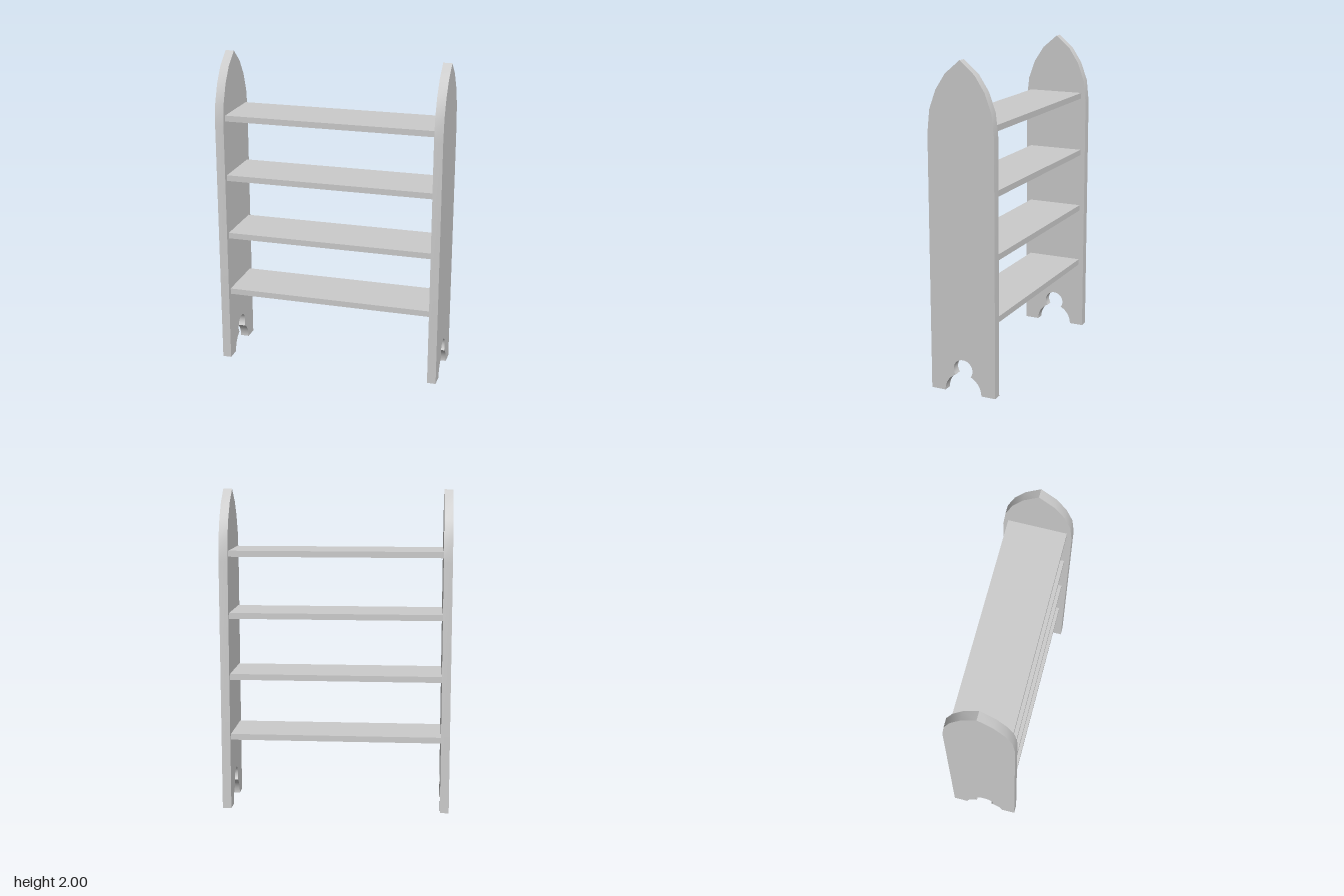
import * as THREE from 'three';
import { toCreasedNormals } from 'three/addons/utils/BufferGeometryUtils.js';

const HALF_DEPTH = 0.213;
const OUTER = 0.713, INNER = 0.658;

// Pointed-arch outline with a keyhole cut-out between the feet
function sideGeometry() {
  const arch = [[HALF_DEPTH, 1.57], [0.198, 1.71], [0.156, 1.825], [0.094, 1.92]];
  const footR = 0.121, holeR = 0.063, holeY = 0.147;
  const cusp = Math.atan2(0.11, 0.05);
  const neck = Math.atan2(holeY - 0.11, 0.05);

  const s = new THREE.Shape();
  s.moveTo(-HALF_DEPTH, 0);
  s.lineTo(-footR, 0);
  s.absarc(0, 0, footR, Math.PI, Math.PI - cusp, true);
  s.absarc(0, holeY, holeR, Math.PI + neck, -neck, true);
  s.absarc(0, 0, footR, cusp, 0, true);
  s.lineTo(HALF_DEPTH, 0);
  arch.forEach(([z, y]) => s.lineTo(z, y));
  s.lineTo(0, 2);
  [...arch].reverse().forEach(([z, y]) => s.lineTo(-z, y));
  s.closePath();

  const thickness = OUTER - INNER;
  const geo = new THREE.ExtrudeGeometry(s, { depth: thickness, bevelEnabled: false, curveSegments: 14 });
  geo.translate(0, 0, -thickness / 2);
  geo.rotateY(Math.PI / 2);
  return toCreasedNormals(geo, 0.5);
}

export function createModel() {
  const group = new THREE.Group();
  group.name = 'bookshelf';
  const material = new THREE.MeshStandardMaterial({ color: 0xcccccc });

  const add = (name, geo, x, y) => {
    const mesh = new THREE.Mesh(geo, material);
    mesh.name = name;
    mesh.position.set(x, y, 0);
    group.add(mesh);
  };

  // Side panels
  const side = sideGeometry();
  const sideX = (OUTER + INNER) / 2;
  add('leftSide', side, sideX, 0);
  add('rightSide', side, -sideX, 0);

  // Evenly spaced shelves
  const shelf = new THREE.BoxGeometry(INNER * 2, 0.037, 0.363);
  for (let i = 0; i < 4; i++) add(`shelf${i + 1}`, shelf, 0, 0.458 + i * 0.3845);

  return group;
}
